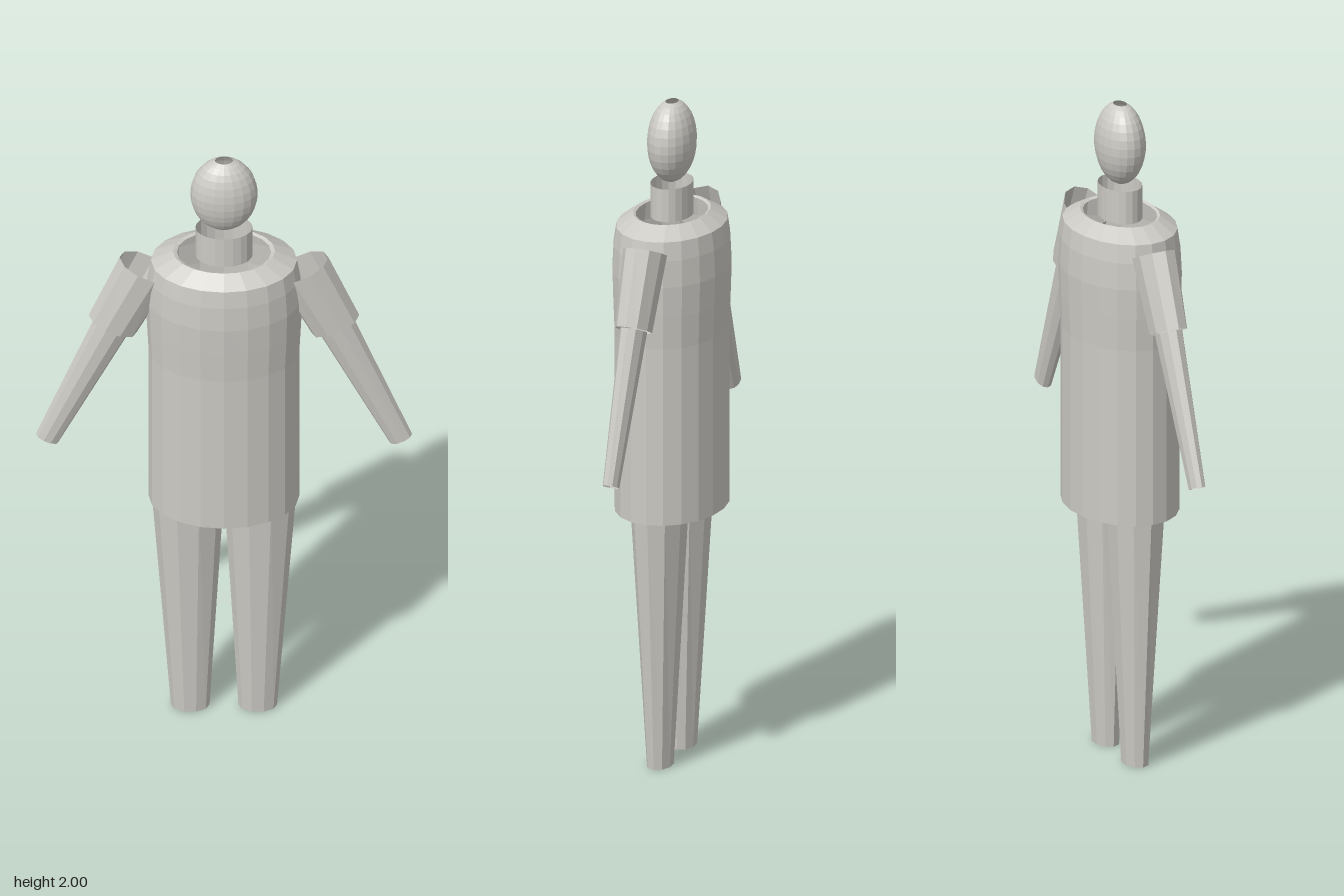
import * as THREE from 'three';

// Open elliptical tube through rings [centreX, centreY, radiusX, radiusZ], top to bottom.
// tilt turns every ring about z; side mirrors the part across x.
function tube(rings, segments, tilt = 0, side = 1) {
  const positions = [], index = [];
  const ux = Math.cos(tilt), uy = Math.sin(tilt) * side;
  for (const [cx, cy, rx, rz] of rings) {
    for (let i = 0; i < segments; i++) {
      const a = (i / segments) * Math.PI * 2;
      const r = rx * Math.cos(a);
      positions.push(cx * side + r * ux, cy + r * uy, rz * Math.sin(a));
    }
  }
  for (let j = 0; j < rings.length - 1; j++) {
    for (let i = 0; i < segments; i++) {
      const a = j * segments + i, b = j * segments + ((i + 1) % segments);
      index.push(a, b, a + segments, b, b + segments, a + segments);
    }
  }
  const geometry = new THREE.BufferGeometry();
  geometry.setAttribute('position', new THREE.Float32BufferAttribute(positions, 3));
  geometry.setIndex(index);
  geometry.computeVertexNormals();
  return geometry;
}

export function createModel() {
  const model = new THREE.Group();
  model.name = 'figure';
  const clay = new THREE.MeshStandardMaterial({ color: 0xcccac4, flatShading: true, side: THREE.DoubleSide });
  clay.name = 'pale grey';

  const add = (name, geometry) => {
    const mesh = new THREE.Mesh(geometry, clay);
    mesh.name = name;
    model.add(mesh);
  };

  // Head: ellipsoid with a small hole in the crown
  const head = [], rows = 14, start = 0.27;
  for (let i = 0; i <= rows; i++) {
    const t = start + (Math.PI - 0.01 - start) * (i / rows);
    head.push([0, 1.88 + 0.1245 * Math.cos(t), 0.098 * Math.sin(t), 0.069 * Math.sin(t)]);
  }
  add('head', tube(head, 20));

  // Neck
  add('neck', tube([[0, 1.755, 0.083, 0.06], [0, 1.655, 0.083, 0.06]], 20));

  // Torso shell with a sloped collar, open at the neck and hem
  add('torso', tube([
    [0, 1.664, 0.137, 0.1],
    [0, 1.668, 0.148, 0.108],
    [0, 1.635, 0.212, 0.155],
    [0, 1.58, 0.221, 0.163],
    [0, 1.5, 0.226, 0.167],
    [0, 1.41, 0.224, 0.164],
    [0, 1.31, 0.219, 0.16],
    [0, 0.77, 0.219, 0.16],
  ], 20));

  // Arms and legs, mirrored
  for (const [label, side] of [['left', 1], ['right', -1]]) {
    add(label + 'UpperArm', tube([[0.226, 1.608, 0.085, 0.062], [0.323, 1.4, 0.0765, 0.052]], 10, 0.44, side));
    add(label + 'Forearm', tube([[0.323, 1.4, 0.057, 0.038], [0.513, 0.98, 0.036, 0.023]], 10, 0.43, side));
    add(label + 'Leg', tube([[0.105, 0.81, 0.107, 0.083], [0.098, 0, 0.056, 0.037]], 10, 0, side));
  }
  return model;
}
